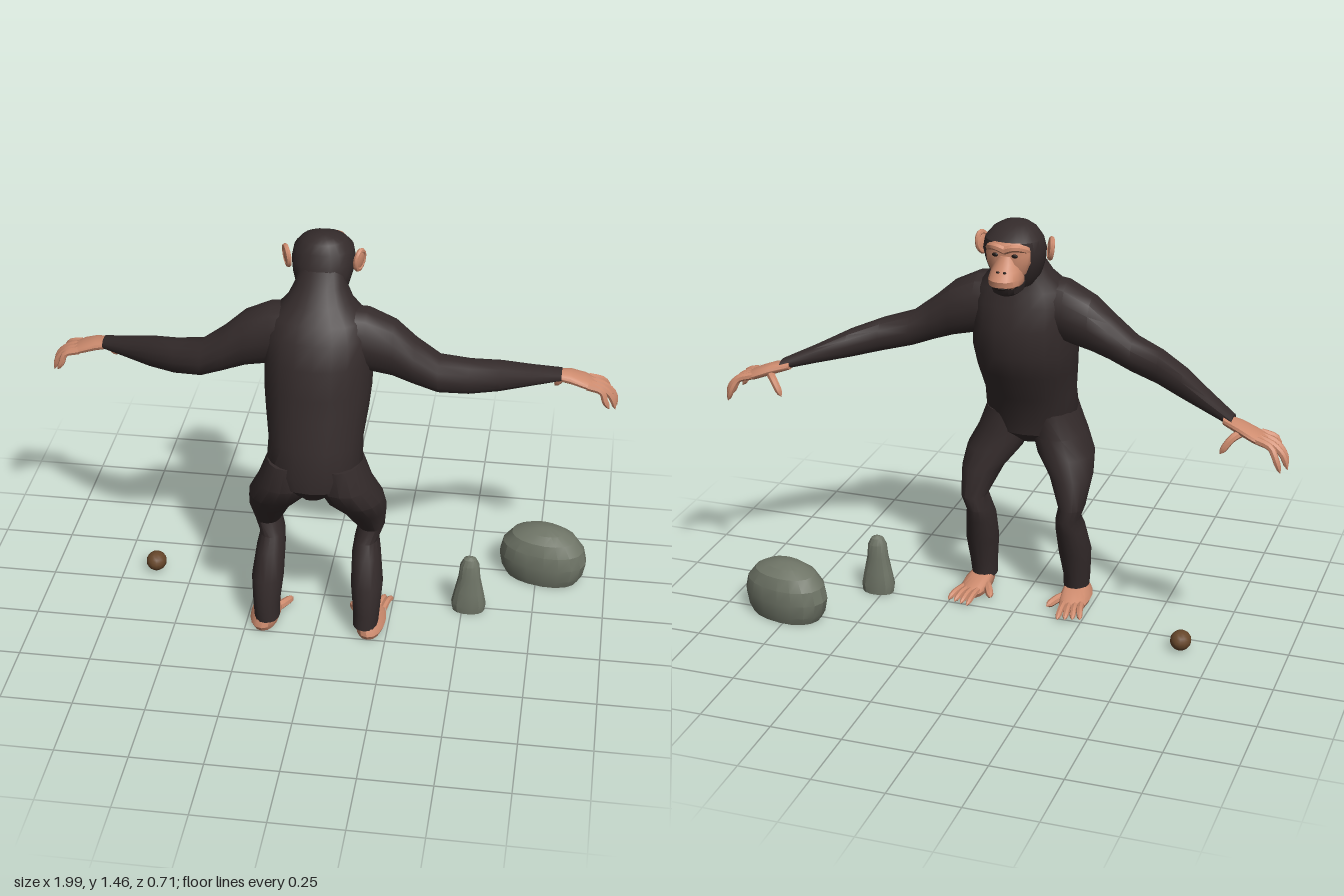
import * as THREE from 'three';
import { toCreasedNormals } from 'three/addons/utils/BufferGeometryUtils.js';

const material = (name, color) => {
  const m = new THREE.MeshStandardMaterial({ color });
  m.name = name;
  return m;
};

// Closed skin over rings of points, with a fan at each end
function skinRings(rings) {
  const n = rings[0].length, pos = [], idx = [];
  rings.forEach(r => r.forEach(p => pos.push(...p)));
  for (let i = 0; i < rings.length - 1; i++) {
    for (let j = 0; j < n; j++) {
      const a = i * n + j, b = i * n + (j + 1) % n, c = a + n, d = b + n;
      idx.push(a, c, b, b, c, d);
    }
  }
  [rings[0], rings[rings.length - 1]].forEach((ring, end) => {
    const centre = pos.length / 3, start = end ? (rings.length - 1) * n : 0;
    pos.push(...[0, 1, 2].map(k => ring.reduce((s, p) => s + p[k], 0) / n));
    for (let j = 0; j < n; j++) {
      const a = start + j, b = start + (j + 1) % n;
      idx.push(centre, ...(end ? [b, a] : [a, b]));
    }
  });
  const g = new THREE.BufferGeometry();
  g.setAttribute('position', new THREE.Float32BufferAttribute(pos, 3));
  g.setIndex(idx);
  return g;
}

const ringOf = (n, f) => Array.from({ length: n }, (_, j) => {
  const t = j / n * Math.PI * 2;
  const round = v => Math.sign(v) * Math.abs(v) ** 0.92;
  return f(round(Math.cos(t)), round(Math.sin(t)));
});

// Upright form, rows of [y, front z, back z, half width, centre x]
const upright = (rows, n = 16) => skinRings(rows.map(([y, f, b, w, x = 0]) =>
  ringOf(n, (c, s) => [x + w * c, y, (f + b) / 2 + (b - f) / 2 * s])));

// Sideways form, rows of [x, top y, bottom y, front z, back z]
const sideways = (rows, n = 14) => skinRings(rows.map(([x, t, u, f, b]) =>
  ringOf(n, (c, s) => [x, (t + u) / 2 + (t - u) / 2 * s, (f + b) / 2 + (b - f) / 2 * c])));

// Finger or toe: a tube that narrows to a rounded tip
function digit(points, r) {
  const n = 9, sides = 7;
  const curve = new THREE.CatmullRomCurve3(points.map(p => new THREE.Vector3(...p)));
  const g = new THREE.TubeGeometry(curve, n, r, sides);
  const pos = g.attributes.position, v = new THREE.Vector3();
  for (let i = 0; i <= n; i++) {
    const centre = curve.getPointAt(i / n);
    const k = i === n ? 0 : i === n - 1 ? 0.6 : 1 - 0.25 * i / n;
    for (let j = 0; j <= sides; j++) {
      const q = i * (sides + 1) + j;
      v.fromBufferAttribute(pos, q).sub(centre).multiplyScalar(k).add(centre);
      pos.setXYZ(q, v.x, v.y, v.z);
    }
  }
  return g;
}

function ball(x, y, z, rx, ry, rz) {
  return new THREE.SphereGeometry(1, 14, 10).scale(rx, ry, rz).translate(x, y, z);
}

// Mirror across x, turning the faces back outwards
function mirrored(geometry) {
  const g = geometry.clone().scale(-1, 1, 1), a = g.index.array;
  for (let i = 0; i < a.length; i += 3) [a[i], a[i + 1]] = [a[i + 1], a[i]];
  return g;
}

export function createModel() {
  const fur = material('dark fur', 0x342b2b);
  const skin = material('bare skin', 0xcd8b6e);
  const dark = material('eye and nostril', 0x1d1512);
  const stone = material('grey stone', 0x6f7567);
  const shell = material('nut shell', 0x66462a);

  const model = new THREE.Group();
  const ape = new THREE.Group();
  ape.name = 'ape';
  model.add(ape);
  const add = (name, g, m, parent = ape, crease = 0.6) => {
    const mesh = new THREE.Mesh(toCreasedNormals(g, crease), m);
    mesh.name = name;
    parent.add(mesh);
  };
  const pair = (name, g, m) => {
    add('left ' + name, g, m);
    add('right ' + name, mirrored(g), m);
  };

  // Torso and neck
  add('torso', upright([
    [0.60, 0.16, 0.31, 0.05], [0.65, 0.10, 0.352, 0.14], [0.70, 0.09, 0.355, 0.164],
    [0.80, 0.05, 0.343, 0.16], [0.90, -0.005, 0.322, 0.174], [0.98, -0.034, 0.308, 0.182],
    [1.08, -0.034, 0.291, 0.182], [1.16, -0.018, 0.26, 0.18], [1.21, 0, 0.228, 0.16],
    [1.26, 0.01, 0.185, 0.11], [1.31, 0.015, 0.147, 0.085], [1.36, 0.02, 0.118, 0.075],
  ], 20), fur);

  // Head: cranium, jaw, bare face
  add('cranium', upright([
    [1.24, -0.03, 0.12, 0.06], [1.28, -0.06, 0.135, 0.085], [1.33, -0.078, 0.127, 0.10],
    [1.37, -0.085, 0.115, 0.106], [1.41, -0.08, 0.10, 0.098], [1.44, -0.05, 0.085, 0.073],
    [1.455, -0.015, 0.068, 0.045], [1.462, 0.015, 0.045, 0.015],
  ], 20), fur);
  add('jaw', upright([
    [1.232, -0.098, 0.02, 0.034], [1.245, -0.122, 0.02, 0.05], [1.272, -0.138, 0.02, 0.056],
  ]), fur);
  add('muzzle', upright([
    [1.268, -0.136, 0, 0.052], [1.277, -0.15, 0, 0.057], [1.297, -0.153, 0, 0.057],
    [1.322, -0.134, 0, 0.051], [1.345, -0.113, 0, 0.042], [1.37, -0.10, 0, 0.032],
  ]), skin);
  add('face', upright([
    [1.30, -0.085, 0, 0.06], [1.34, -0.096, 0, 0.076], [1.37, -0.094, 0, 0.08],
    [1.395, -0.096, 0, 0.076], [1.412, -0.082, 0, 0.06],
  ]), skin);
  add('mouth line', digit([[-0.05, 1.274, -0.105], [0, 1.274, -0.151], [0.05, 1.274, -0.105]], 0.004), dark);
  pair('brow', digit([[-0.005, 1.39, -0.094], [0.035, 1.402, -0.094], [0.078, 1.38, -0.05]], 0.014), skin);
  pair('eye', ball(0.034, 1.373, -0.091, 0.011, 0.007, 0.006), dark);
  pair('nostril', ball(0.012, 1.325, -0.13, 0.006, 0.004, 0.004), dark);

  // Ears: a shallow bowl with a raised rim
  const ear = g => g.rotateY(-0.45).rotateZ(-0.12).translate(0.121, 1.372, 0.03);
  pair('ear', ear(ball(0, 0, 0, 0.009, 0.036, 0.025)), skin);
  pair('ear rim', ear(new THREE.TorusGeometry(0.03, 0.009, 7, 16)
    .rotateY(Math.PI / 2).scale(1, 1.1, 0.8)), skin);

  // Arms reaching out and forward
  pair('arm', sideways([
    [0.08, 1.245, 1.04, 0.03, 0.215], [0.16, 1.238, 1.02, 0.02, 0.205],
    [0.25, 1.195, 1.0, 0.022, 0.188], [0.32, 1.132, 0.975, 0.032, 0.18],
    [0.40, 1.07, 0.945, 0.03, 0.165], [0.50, 1.043, 0.925, 0.003, 0.122],
    [0.60, 1.01, 0.91, -0.055, 0.058], [0.70, 0.965, 0.9, -0.113, -0.02],
    [0.80, 0.925, 0.888, -0.168, -0.10],
  ]), fur);
  pair('palm', sideways([
    [0.77, 0.922, 0.89, -0.16, -0.105], [0.83, 0.913, 0.872, -0.192, -0.108],
    [0.88, 0.894, 0.855, -0.207, -0.11], [0.92, 0.873, 0.845, -0.202, -0.113],
  ]), skin);
  for (let i = 0; i < 4; i++) {
    const z = -0.192 + i * 0.024, tip = -0.215 + i * 0.035;
    const reach = [0.978, 0.995, 0.99, 0.97][i];
    pair('finger ' + (i + 1), digit([[0.89, 0.872, z], [0.94, 0.857, (z + tip) / 2],
      [reach - 0.018, 0.825, tip], [reach, 0.775 + (i === 3 ? 0.02 : 0), tip]], 0.0135), skin);
  }
  pair('thumb', digit([[0.84, 0.885, -0.165], [0.81, 0.867, -0.195], [0.775, 0.815, -0.212]], 0.015), skin);

  // Bent legs
  pair('leg', upright([
    [0.04, 0.14, 0.257, 0.044, 0.175], [0.10, 0.13, 0.257, 0.047, 0.177],
    [0.20, 0.097, 0.247, 0.056, 0.175], [0.30, 0.063, 0.214, 0.05, 0.168],
    [0.35, 0.045, 0.182, 0.042, 0.166], [0.40, 0.043, 0.168, 0.046, 0.181],
    [0.50, 0.065, 0.25, 0.075, 0.163], [0.57, 0.085, 0.312, 0.099, 0.131],
    [0.64, 0.10, 0.346, 0.095, 0.1], [0.73, 0.10, 0.34, 0.075, 0.085],
  ]), fur);

  // Feet with a spread big toe
  pair('foot', upright([
    [0, 0.05, 0.25, 0.046, 0.187], [0.018, 0.035, 0.261, 0.053, 0.188],
    [0.034, 0.06, 0.257, 0.05, 0.184], [0.055, 0.13, 0.25, 0.038, 0.176],
  ]), skin);
  for (let i = 0; i < 4; i++) {
    const x = 0.163 + i * 0.02, tip = 0.17 + i * 0.026;
    pair('toe ' + (i + 1), digit([[x, 0.022, 0.09], [(x + tip) / 2, 0.025, 0.035],
      [tip, 0.011, -0.028 + i * 0.008]], 0.0135), skin);
  }
  pair('big toe', digit([[0.165, 0.022, 0.15], [0.135, 0.024, 0.11], [0.106, 0.015, 0.05]], 0.018), skin);

  // Anvil stone, hammer stone and nut
  const anvil = upright([
    [0, -0.085, 0.085, 0.135], [0.03, -0.095, 0.095, 0.152], [0.08, -0.1, 0.1, 0.162],
    [0.13, -0.096, 0.096, 0.15], [0.17, -0.078, 0.078, 0.118], [0.193, -0.05, 0.05, 0.075],
    [0.203, -0.015, 0.015, 0.025],
  ], 18);
  add('anvil stone', anvil.rotateY(-0.24).translate(0.77, 0, -0.252), stone, model, 0.4);
  add('hammer stone', upright([
    [0, -0.033, 0.047, 0.058, 0.522], [0.03, -0.034, 0.05, 0.062, 0.522],
    [0.08, -0.029, 0.045, 0.052, 0.522], [0.14, -0.025, 0.04, 0.039, 0.522],
    [0.19, -0.022, 0.035, 0.034, 0.522], [0.213, -0.012, 0.026, 0.022, 0.522],
    [0.221, 0, 0.013, 0.008, 0.522],
  ], 14), stone, model, 0.4);
  add('nut', ball(-0.635, 0.036, -0.077, 0.037, 0.035, 0.041), shell, model);

  return model;
}
